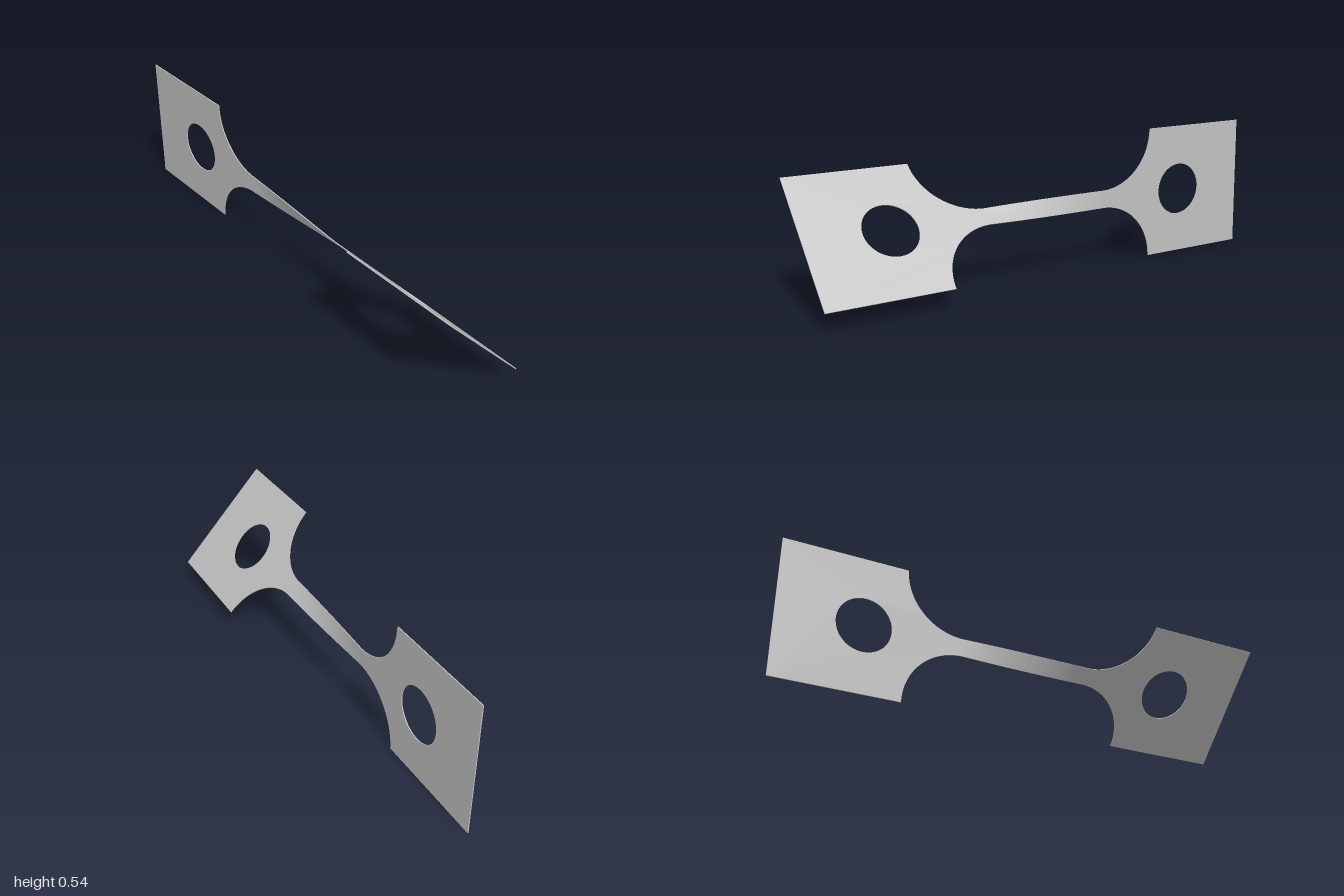
import * as THREE from 'three';

const THICK = 0.004, MID_Y = 0.271;
const GRIP_HALF = 0.271, NECK_HALF = 0.036;
const NECK_END = 0.272, GRIP_START = 0.51, GRIP_END = 1;
const TWIST_START = 0.01, TWIST_END = 0.758;

// Flat grip end with a round hole and a curved shoulder on each side
function gripGeometry() {
  const rx = GRIP_START - NECK_END, ry = GRIP_HALF - NECK_HALF;
  const shape = new THREE.Shape();
  shape.moveTo(GRIP_END, -GRIP_HALF);
  shape.lineTo(GRIP_END, GRIP_HALF);
  shape.lineTo(GRIP_START, GRIP_HALF);
  shape.absellipse(NECK_END, GRIP_HALF, rx, ry, 0, -Math.PI / 2, true);
  shape.lineTo(NECK_END, -NECK_HALF);
  shape.absellipse(NECK_END, -GRIP_HALF, rx, ry, Math.PI / 2, 0, true);
  shape.closePath();
  const hole = new THREE.Path();
  hole.absarc(0.67, 0, 0.108, 0, Math.PI * 2, true);
  shape.holes.push(hole);
  const geo = new THREE.ExtrudeGeometry(shape, { depth: THICK, bevelEnabled: false, curveSegments: 28 });
  return geo.translate(0, 0, -THICK / 2);
}

// Narrow neck, turned steadily about its long axis
function neckGeometry() {
  const geo = new THREE.BoxGeometry(NECK_END * 2, NECK_HALF * 2, THICK, 48, 4, 1);
  const pos = geo.attributes.position, p = new THREE.Vector3();
  const axis = new THREE.Vector3(1, 0, 0);
  for (let i = 0; i < pos.count; i++) {
    p.fromBufferAttribute(pos, i);
    const t = (p.x + NECK_END) / (2 * NECK_END);
    p.applyAxisAngle(axis, THREE.MathUtils.lerp(TWIST_START, TWIST_END, t));
    pos.setXYZ(i, p.x, p.y, p.z);
  }
  geo.computeVertexNormals();
  return geo;
}

export function createModel() {
  const model = new THREE.Group();
  model.name = 'twistedTestStrip';
  const metal = new THREE.MeshStandardMaterial({ color: 0xc0c0c0 });
  metal.name = 'plainGreyMetal';

  const add = (name, geo) => {
    const mesh = new THREE.Mesh(geo, metal);
    mesh.name = name;
    mesh.position.y = MID_Y;
    model.add(mesh);
  };
  add('leftGrip', gripGeometry().rotateX(TWIST_END));
  add('rightGrip', gripGeometry().rotateY(Math.PI).rotateX(TWIST_START));
  add('twistedNeck', neckGeometry());
  return model;
}
